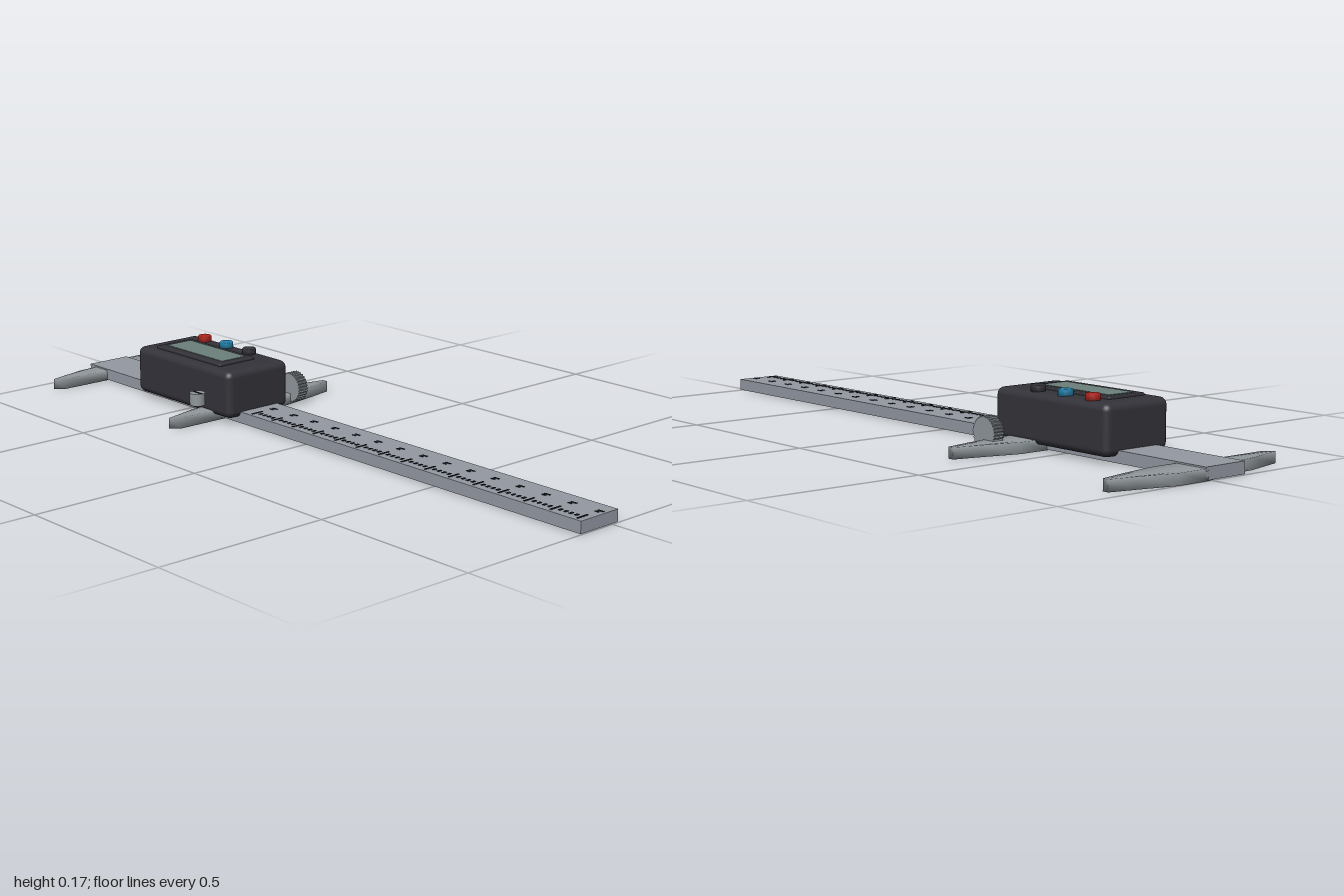
import * as THREE from 'three';
import { mergeVertices, mergeGeometries } from 'three/addons/utils/BufferGeometryUtils.js';
import { RoundedBoxGeometry } from 'three/addons/geometries/RoundedBoxGeometry.js';

const material = (name, color) => {
  const m = new THREE.MeshStandardMaterial({ color });
  m.name = name;
  return m;
};

// Box geometry given by its limits on each axis
const box = (x0, x1, y0, y1, z0, z1) =>
  new THREE.BoxGeometry(x1 - x0, y1 - y0, z1 - z0)
    .translate((x0 + x1) / 2, (y0 + y1) / 2, (z0 + z1) / 2);

// Plan outline of one jaw pair as [x, z], long jaw to the back and short jaw to the front
const JAW = [
  [-0.952, -0.297], [-0.97, -0.22], [-1, -0.11], [-1, -0.01], [-0.972, 0.1],
  [-0.967, 0.18], [-0.938, 0.296], [-0.916, 0.27], [-0.914, 0.11],
  [-0.9, -0.01], [-0.9, -0.11], [-0.918, -0.22], [-0.934, -0.297],
];

// Flat blade with softly blended edge normals
function jawGeometry() {
  const shape = new THREE.Shape(JAW.map(([x, z]) => new THREE.Vector2(x, -z)));
  let g = new THREE.ExtrudeGeometry(shape, { depth: 0.031, bevelEnabled: false });
  g.rotateX(-Math.PI / 2);
  g.deleteAttribute('normal');
  g.deleteAttribute('uv');
  g = mergeVertices(g);
  g.computeVertexNormals();
  return g;
}

// Wheel with small teeth, its axis along z
function knurledGeometry(radius, depth, teeth) {
  const points = [];
  for (let i = 0; i < teeth * 4; i++) {
    const a = (i / (teeth * 4)) * Math.PI * 2;
    const r = i % 4 < 2 ? radius : radius * 0.93;
    points.push(new THREE.Vector2(Math.cos(a) * r, Math.sin(a) * r));
  }
  return new THREE.ExtrudeGeometry(new THREE.Shape(points), { depth, bevelEnabled: false })
    .translate(0, 0, -depth / 2);
}

export function createModel() {
  const root = new THREE.Group();
  root.name = 'digitalCaliper';
  const steel = material('beam steel', 0x9499a3);
  const jawSteel = material('jaw steel', 0x91989c);
  const plastic = material('dark plastic', 0x34333a);
  const glass = material('display glass', 0x6c807c);
  const red = material('red button', 0xb3261e);
  const blue = material('blue button', 0x2382ad);
  const black = material('black markings', 0x1d1d21);

  const add = (name, geometry, mat, x = 0, y = 0, z = 0, parent = root) => {
    const mesh = new THREE.Mesh(geometry, mat);
    mesh.name = name;
    mesh.position.set(x, y, z);
    parent.add(mesh);
    return mesh;
  };

  // Beam and the two jaw pairs
  add('beam', box(-1, 1, 0.002, 0.035, -0.02, 0.116), steel);
  const jaw = jawGeometry();
  add('fixedJaw', jaw, jawSteel);
  add('slidingJaw', jaw, jawSteel, 0.566);

  // Graduations: short ticks with longer ones at each fifth, and a row of index dashes
  const marks = [];
  const mark = (x, z, w, d) => marks.push(box(x - w / 2, x + w / 2, 0.034, 0.0365, z - d / 2, z + d / 2));
  for (let i = 0; i < 71; i++) {
    const x = -0.235 + i * 0.01735;
    const major = i % 5 === 0;
    mark(x, 0.088, major ? 0.005 : 0.007, major ? 0.038 : 0.012);
    if (major) {
      mark(x + 0.003, 0.024, 0.018, 0.005);
      mark(x, 0.034, 0.012, 0.005);
    }
  }
  add('scaleMarks', mergeGeometries(marks), black);

  // Sliding display housing
  const housing = new THREE.Group();
  housing.name = 'displayHousing';
  root.add(housing);
  add('housingBody', new RoundedBoxGeometry(0.426, 0.137, 0.222, 4, 0.02), plastic, -0.487, 0.0865, 0.048, housing);
  add('displayBezel', new RoundedBoxGeometry(0.294, 0.02, 0.128, 3, 0.004), plastic, -0.495, 0.152, 0.065, housing);
  add('displayScreen', box(-0.623, -0.368, 0.158, 0.1635, 0.019, 0.105), glass, 0, 0, 0, housing);

  // Round push buttons
  const profile = [[0, 0], [0.02, 0], [0.02, 0.021], [0.018, 0.024], [0, 0.024]];
  const button = new THREE.LatheGeometry(profile.map(([x, y]) => new THREE.Vector2(x, y)), 28);
  [['redButton', red, -0.616], ['blueButton', blue, -0.514], ['blackButton', plastic, -0.41]]
    .forEach(([name, mat, x]) => add(name, button, mat, x, 0.148, -0.03, housing));

  // Thumb wheel behind the housing
  add('thumbWheel', knurledGeometry(0.044, 0.033, 30), jawSteel, -0.341, 0.049, -0.1415);

  // Slotted lock screw in front of the housing
  add('lockScrew', new THREE.CylinderGeometry(0.022, 0.022, 0.035, 28), jawSteel, -0.37, 0.0695, 0.195);
  add('lockScrewSlot', box(-0.019, 0.019, 0, 0.002, -0.003, 0.003), black, -0.37, 0.0862, 0.195);

  return root;
}
